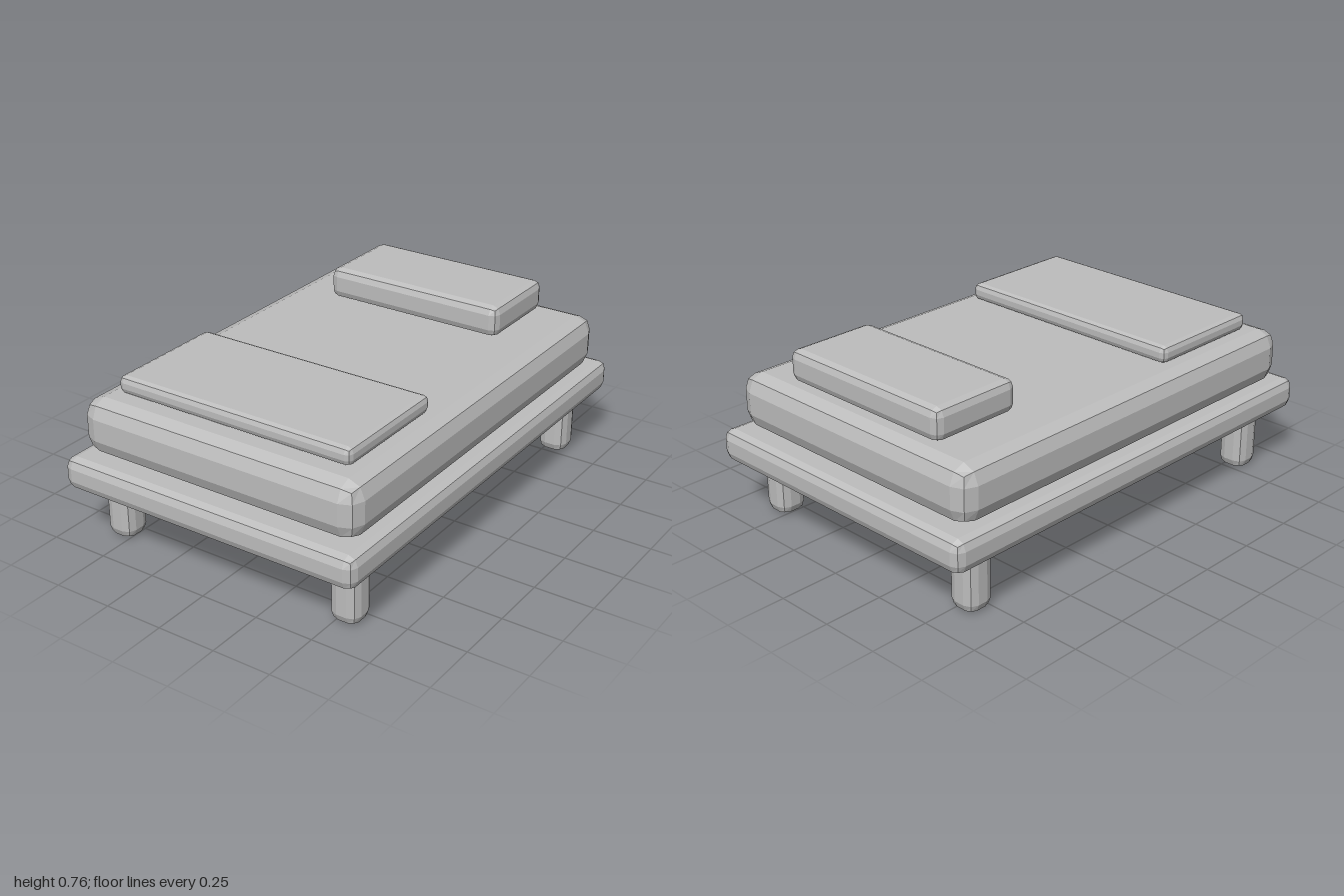
import * as THREE from 'three';
import { RoundedBoxGeometry } from 'three/addons/geometries/RoundedBoxGeometry.js';

export function createModel() {
  const bed = new THREE.Group();
  bed.name = 'bed';

  const grey = new THREE.MeshStandardMaterial({ color: 0xbcbcbc });
  grey.name = 'plain grey';

  // Softly bevelled block: two flat facets around each edge
  function block(name, [w, h, d], bevel, [x, bottom, z]) {
    const geometry = new RoundedBoxGeometry(w, h, d, 1, bevel);
    geometry.computeVertexNormals(); // unshared vertices give flat facets
    const mesh = new THREE.Mesh(geometry, grey);
    mesh.name = name;
    mesh.position.set(x, bottom + h / 2, z);
    bed.add(mesh);
  }

  // Base and bedding
  block('frame', [1.348, 0.135, 2], 0.04, [0, 0.25, 0]);
  block('mattress', [1.27, 0.233, 1.856], 0.07, [0, 0.386, 0]);
  block('pillow', [0.826, 0.135, 0.406], 0.035, [0, 0.621, -0.638]);
  block('blanket', [1.072, 0.074, 0.536], 0.025, [0, 0.621, 0.54]);

  // Four legs, mirrored left to right and front to back
  for (const [side, sx] of [['left', 1], ['right', -1]]) {
    for (const [end, sz] of [['Front', 1], ['Back', -1]]) {
      block(`${side}${end}Leg`, [0.124, 0.25, 0.124], 0.04, [sx * 0.538, 0, sz * 0.806]);
    }
  }
  return bed;
}
